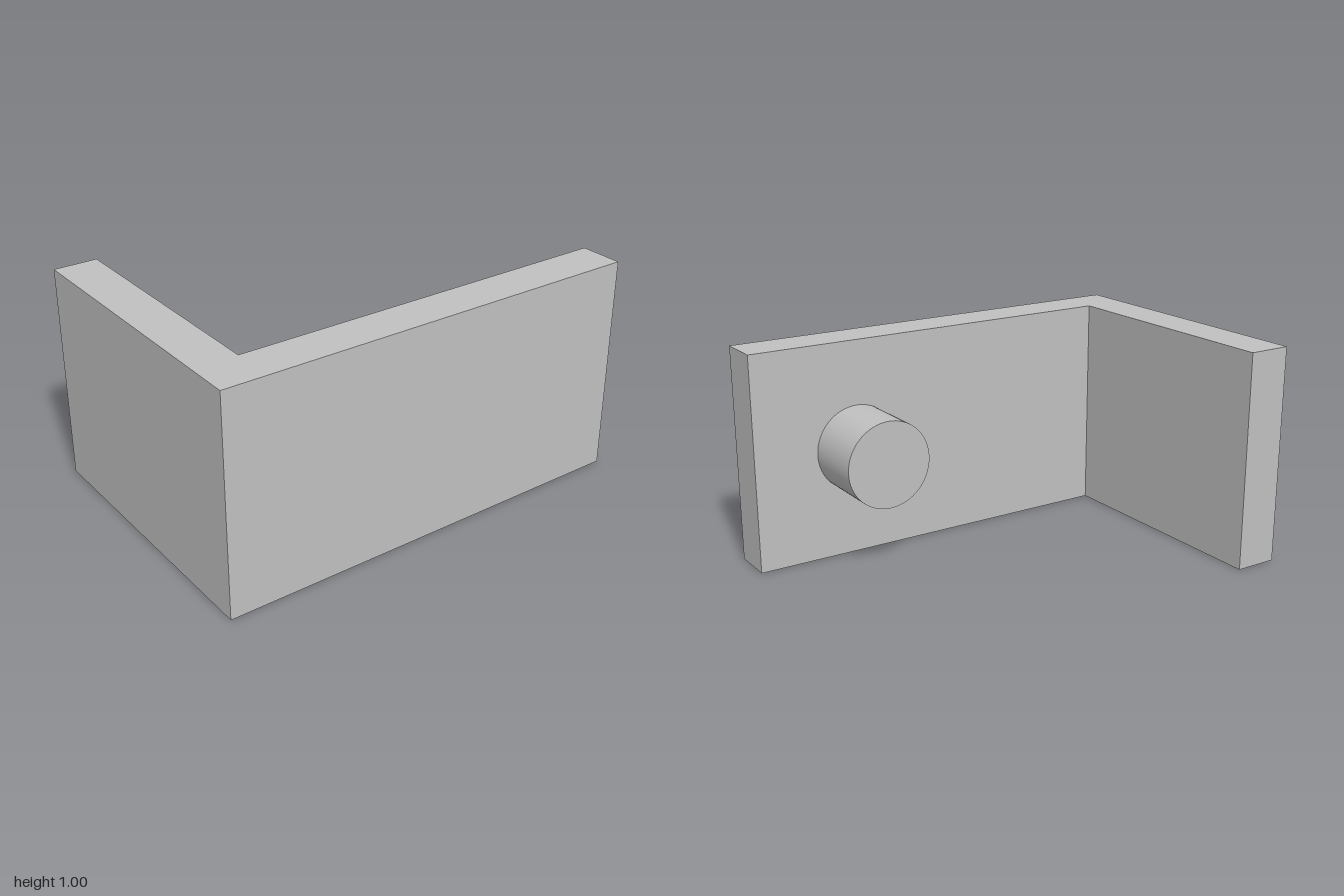
import * as THREE from 'three';

export function createModel() {
  const model = new THREE.Group();
  model.name = 'angleBracket';

  const grey = new THREE.MeshStandardMaterial({ color: 0xc0c0c0 });
  grey.name = 'light grey';

  const height = 1, halfDepth = 0.675, wall = 0.2;

  // L-shaped wall: plan drawn as (x, -z), extruded upwards
  const plan = new THREE.Shape([
    [-1, -halfDepth],
    [1, -halfDepth],
    [1, -halfDepth + wall],
    [-1 + wall, -halfDepth + wall],
    [-1 + wall, halfDepth],
    [-1, halfDepth],
  ].map(([x, y]) => new THREE.Vector2(x, y)));
  const wallGeometry = new THREE.ExtrudeGeometry(plan, { depth: height, bevelEnabled: false });
  wallGeometry.rotateX(-Math.PI / 2);
  const bracket = new THREE.Mesh(wallGeometry, grey);
  bracket.name = 'cornerWall';
  model.add(bracket);

  // Round peg on the inner face of the long wall
  const pegLength = 0.3;
  const pegGeometry = new THREE.CylinderGeometry(0.2, 0.2, pegLength, 64);
  pegGeometry.rotateX(Math.PI / 2);
  const peg = new THREE.Mesh(pegGeometry, grey);
  peg.name = 'peg';
  peg.position.set(0.5, height / 2, halfDepth - wall - pegLength / 2);
  model.add(peg);

  return model;
}
